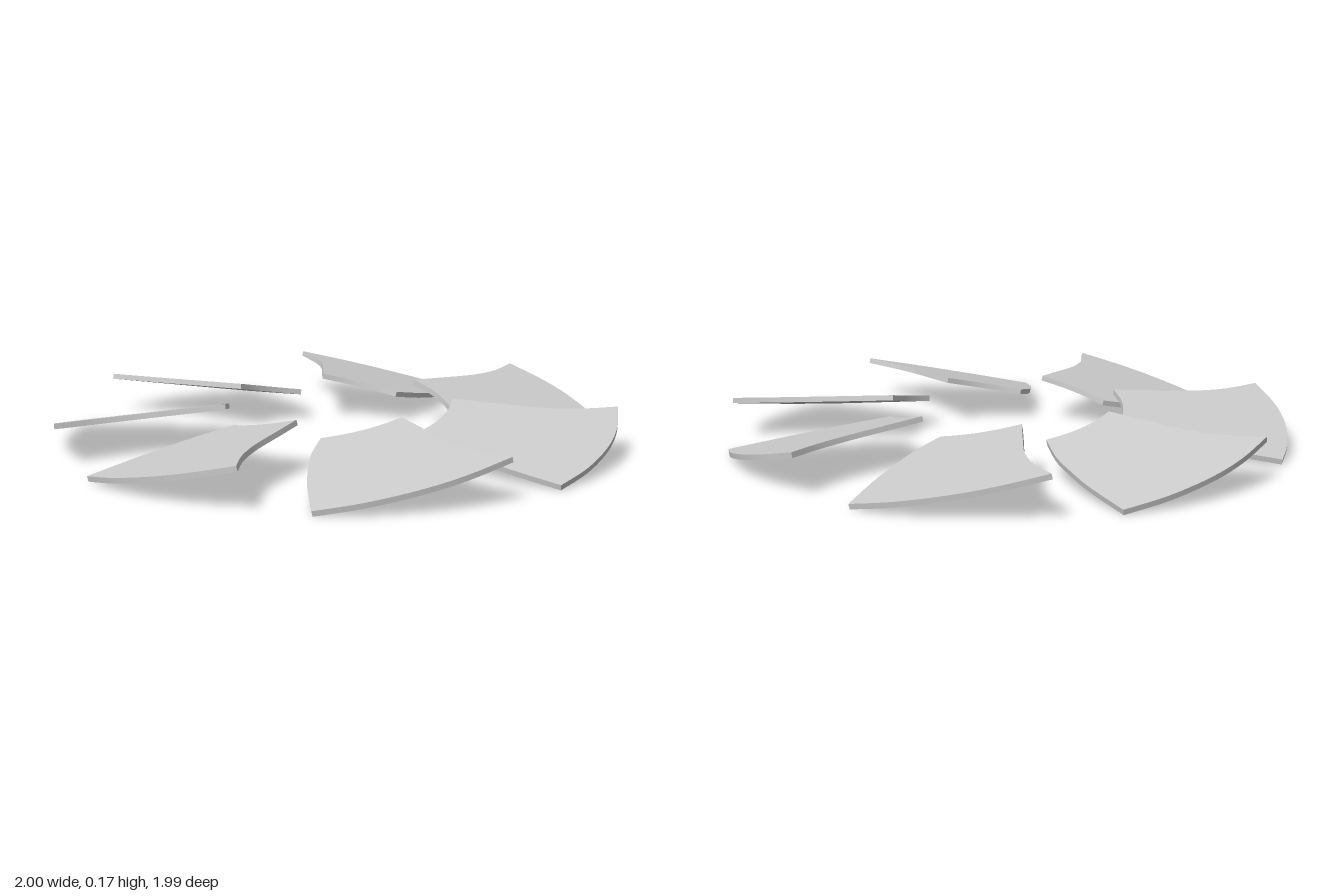
import * as THREE from 'three';
import { toCreasedNormals } from 'three/addons/utils/BufferGeometryUtils.js';

const BLADES = 7;
const THICKNESS = 0.019;

// Plan point from radius and angle (degrees from +z towards +x); shape y is -z
function polar([r, deg]) {
  const a = THREE.MathUtils.degToRad(deg);
  return new THREE.Vector2(r * Math.sin(a), -r * Math.cos(a));
}

// Smooth curve through polar points
function smooth(points, count) {
  return new THREE.SplineCurve(points.map(polar)).getPoints(count);
}

function bladeGeometry() {
  // Outline: low side, outer rim, high side, inner rim
  const low = smooth([[0.415, -4.9], [0.49, -6.1], [0.57, -6.5], [0.67, -5.7], [0.8, -4.5], [0.99, -2.3]], 16);
  const outer = smooth([[0.99, -2.3], [0.995, 7], [0.999, 17], [1, 26], [0.999, 35.7]], 20);
  const high = smooth([[0.999, 35.7], [0.86, 33.4], [0.74, 32.4], [0.65, 32.6], [0.55, 33.4], [0.413, 35]], 16);
  const inner = smooth([[0.413, 35], [0.413, 25], [0.413, 15], [0.413, 5], [0.415, -4.9]], 12);
  const outline = [low, outer, high, inner].flatMap((edge) => edge.slice(0, -1));

  const geometry = new THREE.ExtrudeGeometry(new THREE.Shape(outline), { depth: THICKNESS, bevelEnabled: false });
  geometry.rotateX(-Math.PI / 2);

  // Tilt the plate: it rises along +x and towards the centre
  const rise = 0.167, fall = -0.164;
  const normal = new THREE.Vector3(-rise, 1, -fall).normalize();
  const p = geometry.attributes.position;
  const v = new THREE.Vector3();
  for (let i = 0; i < p.count; i++) {
    v.fromBufferAttribute(p, i);
    const depth = v.y;
    v.y = rise * v.x + fall * v.z;
    v.addScaledVector(normal, depth);
    p.setXYZ(i, v.x, v.y, v.z);
  }
  geometry.computeBoundingBox();
  geometry.translate(0, -geometry.boundingBox.min.y, 0);
  geometry.computeVertexNormals();
  return toCreasedNormals(geometry, 0.5);
}

export function createModel() {
  const model = new THREE.Group();
  model.name = 'bladeRing';
  const geometry = bladeGeometry();
  const material = new THREE.MeshStandardMaterial({ color: 0xcccccc });

  // Ring of identical tilted blades
  for (let i = 0; i < BLADES; i++) {
    const blade = new THREE.Mesh(geometry, material);
    blade.name = `blade${i + 1}`;
    blade.rotation.y = (i * 2 * Math.PI) / BLADES;
    model.add(blade);
  }
  return model;
}
